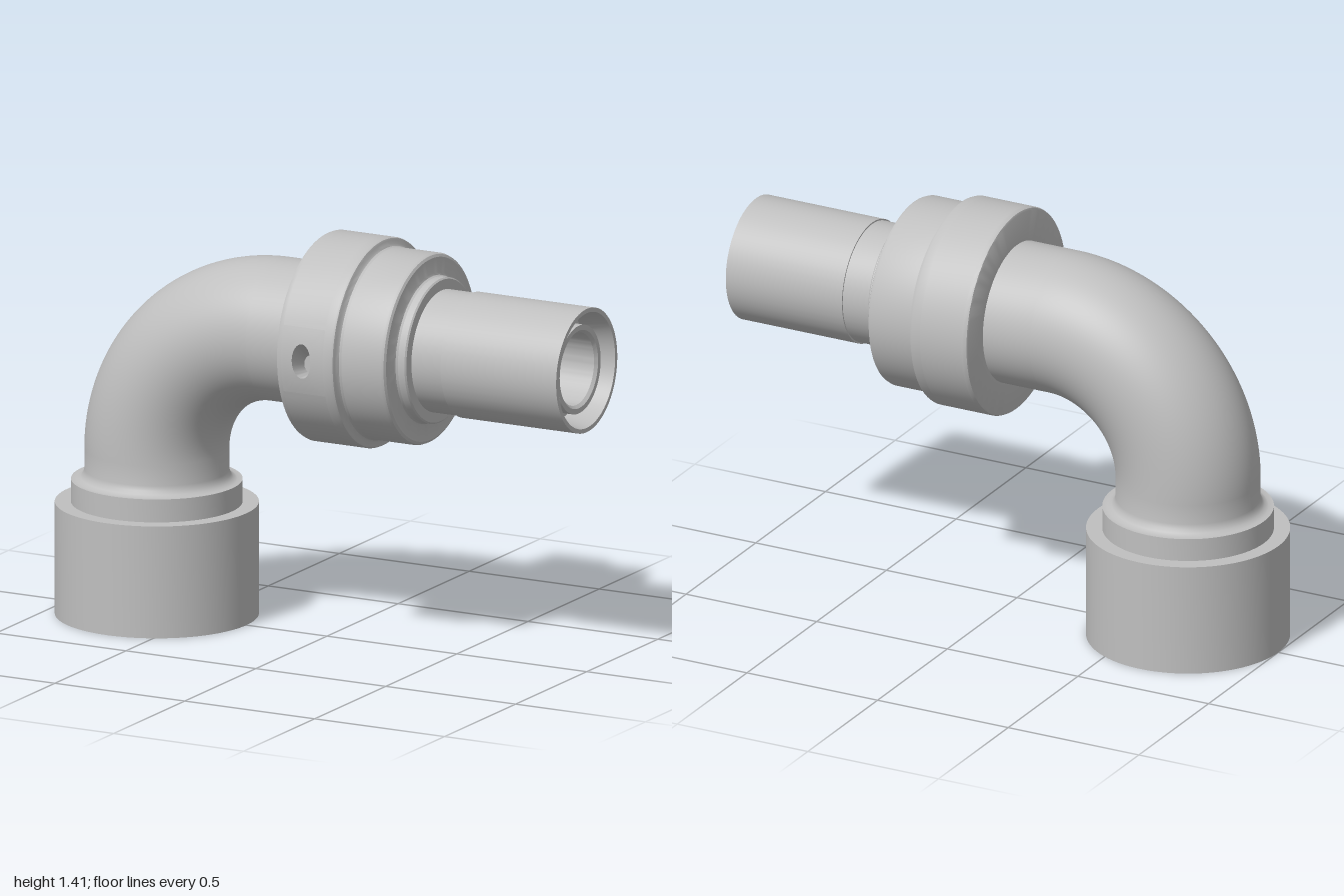
import * as THREE from 'three';
import { toCreasedNormals } from 'three/addons/utils/BufferGeometryUtils.js';

const SEG = 96;              // segments around every round part
const AXIS_Y = 1.05;         // height of the horizontal axis
const AXIS_X = -0.655;       // position of the vertical axis
const PATCH = 5;             // half width of the drilled collar patch, in segments
const STEP = (Math.PI * 2) / SEG;

// Revolved profile given as [radius, height] pairs
function turned(profile, segments = SEG, start = 0, length = Math.PI * 2) {
  const pts = profile.map(([r, h]) => new THREE.Vector2(r, h));
  return toCreasedNormals(new THREE.LatheGeometry(pts, segments, start, length), 0.5);
}

// Collar patch with a blind, slanted hole: loops lofted from the hole floor to the patch edge
function drilledPatch(radius, x0, x1) {
  const n = 2 * PATCH, cx = 0.097, edge = [];
  for (let side = 0; side < 4; side++) {
    for (let i = 0; i < n; i++) {
      const t = i / n, a = PATCH * STEP;
      edge.push([
        [x0 + (x1 - x0) * t, -a],
        [x1, -a + 2 * a * t],
        [x1 - (x1 - x0) * t, a],
        [x0, a - 2 * a * t],
      ][side]);
    }
  }
  const onCollar = (x, a) => [x, radius * Math.sin(a), radius * Math.cos(a)];
  const rim = edge.map(([x, a]) => {
    const k = Math.atan2(a * radius, x - cx);
    return [cx + 0.036 * Math.cos(k), (0.06 * Math.sin(k)) / radius, k];
  });
  const loops = [
    rim.map(() => [cx, -0.028, 0.28]),
    rim.map(([, , k]) => [cx + 0.031 * Math.cos(k), -0.028 + 0.034 * Math.sin(k), 0.28]),
  ];
  for (let s = 0; s <= 4; s++) {
    loops.push(rim.map(([x, a], i) => onCollar(
      THREE.MathUtils.lerp(x, edge[i][0], s / 4),
      THREE.MathUtils.lerp(a, edge[i][1], s / 4))));
  }
  const count = edge.length, index = [];
  for (let l = 0; l < loops.length - 1; l++) {
    for (let i = 0; i < count; i++) {
      const a = l * count + i, b = l * count + ((i + 1) % count);
      if (l > 0) index.push(a, b + count, b);
      index.push(a, a + count, b + count);
    }
  }
  const g = new THREE.BufferGeometry();
  g.setAttribute('position', new THREE.Float32BufferAttribute(loops.flat(2), 3));
  g.setIndex(index);
  return toCreasedNormals(g, 0.5);
}

export function createModel() {
  const group = new THREE.Group();
  const steel = new THREE.MeshStandardMaterial({ color: 0xbfbfbf, side: THREE.DoubleSide });
  steel.name = 'grey steel';

  const add = (name, geometry, parent = group) => {
    const mesh = new THREE.Mesh(geometry, steel);
    mesh.name = name;
    parent.add(mesh);
    return mesh;
  };

  // Vertical socket with open underside, stepped neck and flared root of the pipe
  add('socket', turned([
    [0.2, 0.575], [0.2, 0.3], [0.235, 0.3], [0.235, 0.19], [0.335, 0.19], [0.335, 0],
    [0.345, 0], [0.345, 0.39], [0.29, 0.39], [0.29, 0.47], [0.272, 0.47],
    [0.258, 0.477], [0.249, 0.489], [0.245, 0.505], [0.245, 0.575],
  ])).position.x = AXIS_X;

  // Quarter bend, outside and bore
  for (const [name, r] of [['elbow', 0.245], ['elbowBore', 0.2]]) {
    const bend = add(name, new THREE.TorusGeometry(0.475, r, SEG, 48, Math.PI / 2));
    bend.rotation.z = Math.PI / 2;
    bend.position.set(-0.18, 0.575, 0);
  }

  // Everything turned about the horizontal axis
  const arm = new THREE.Group();
  arm.name = 'horizontalArm';
  arm.position.y = AXIS_Y;
  group.add(arm);
  const addTurned = (name, ...args) => {
    add(name, turned(...args), arm).rotation.z = -Math.PI / 2;
  };

  addTurned('straightPipe', [[0.245, -0.18], [0.245, 0]]);

  // Collar with rounded edges; its middle band leaves room for the drilled patch
  addTurned('collarBack', [[0.245, 0], [0.35, 0], [0.357, 0.003], [0.36, 0.01], [0.36, 0.02]]);
  addTurned('collarBand', [[0.36, 0.02], [0.36, 0.18]],
    SEG - 2 * PATCH, PATCH * STEP, (SEG - 2 * PATCH) * STEP);
  add('collarHole', drilledPatch(0.36, 0.02, 0.18), arm);
  addTurned('collarFront', [
    [0.36, 0.18], [0.36, 0.21], [0.357, 0.217], [0.35, 0.22],
    [0.338, 0.222], [0.331, 0.227], [0.328, 0.235],
  ]);

  // Second collar and small shoulder
  addTurned('retainingRing', [
    [0.328, 0.235], [0.328, 0.385], [0.324, 0.395], [0.315, 0.4],
    [0.262, 0.4], [0.254, 0.403], [0.25, 0.41], [0.25, 0.435], [0.245, 0.44], [0.21, 0.44],
  ]);

  // Neck, nozzle with tapered recess, inner tube and its bore
  addTurned('nozzle', [
    [0.21, 0.44], [0.21, 0.555], [0.215, 0.555], [0.215, 1], [0.2, 1], [0.18, 0.9], [0.153, 0.9],
  ]);
  addTurned('innerTube', [
    [0.153, 0.9], [0.153, 0.97], [0.135, 0.97], [0.125, 0.96], [0.125, 0], [0.2, 0], [0.2, -0.18],
  ]);

  return group;
}
